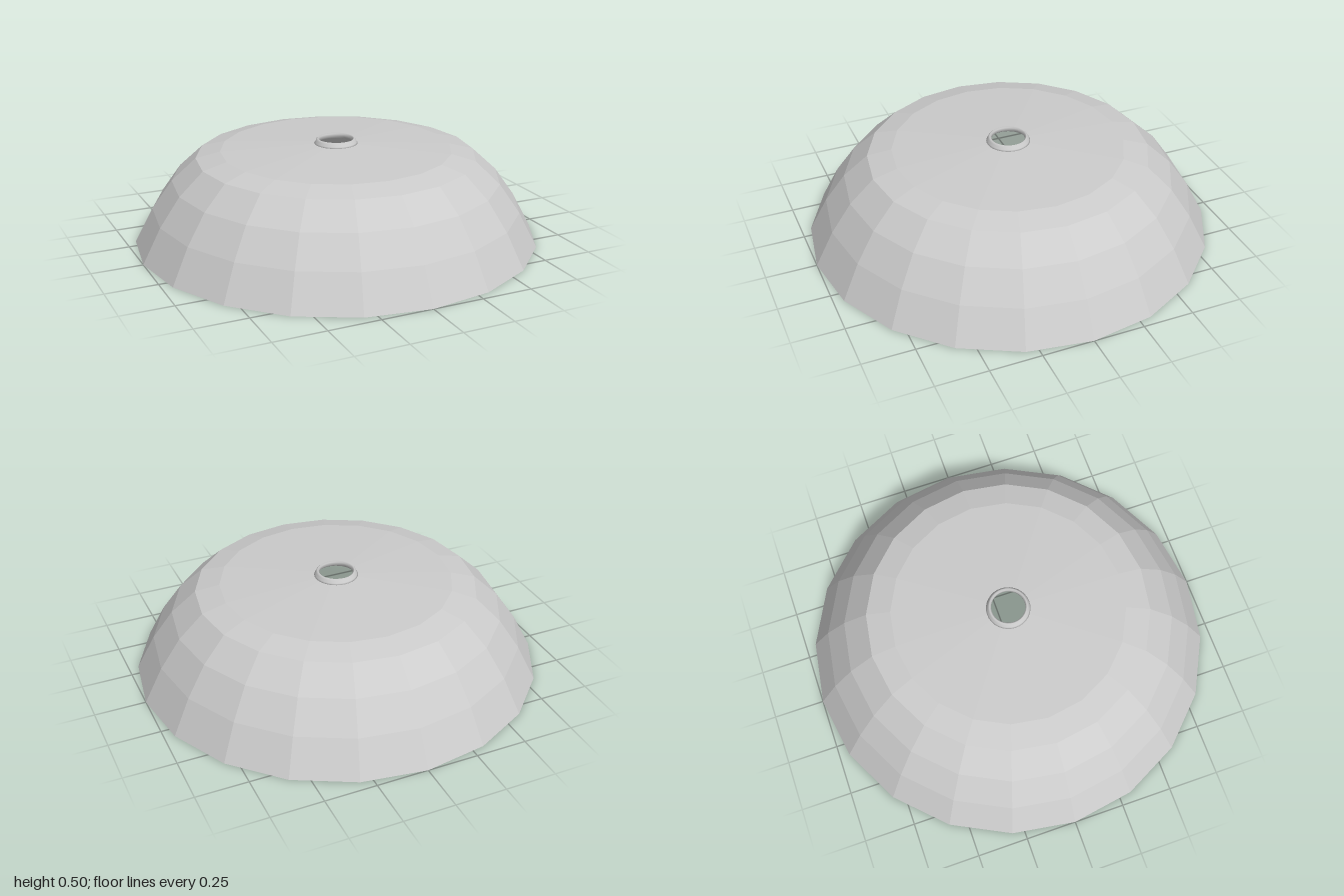
import * as THREE from 'three';

// Revolve a closed [radius, height] profile about the y axis
function revolve(name, profile, sides, flatShading) {
  const points = profile.map(([r, y]) => new THREE.Vector2(r, y));
  const material = new THREE.MeshStandardMaterial({ color: 0xcccccc, flatShading });
  const mesh = new THREE.Mesh(new THREE.LatheGeometry(points, sides), material);
  mesh.name = name;
  return mesh;
}

export function createModel() {
  const model = new THREE.Group();
  model.name = 'domeShade';

  // Faceted hollow dome: bottom rim, outer wall, top opening, inner wall
  model.add(revolve('shell', [
    [0.945, 0], [1, 0], [0.91, 0.17], [0.81, 0.31], [0.69, 0.42], [0.57, 0.45], [0.1, 0.475],
    [0.1, 0.469], [0.52, 0.446], [0.63, 0.418], [0.745, 0.313], [0.845, 0.173], [0.945, 0],
  ], 20, true));

  // Round collar lining the opening at the top
  model.add(revolve('collar', [
    [0.095, 0.468], [0.11, 0.472], [0.102, 0.48], [0.098, 0.493], [0.09, 0.5],
    [0.083, 0.495], [0.083, 0.48], [0.095, 0.468],
  ], 32, false));

  return model;
}
